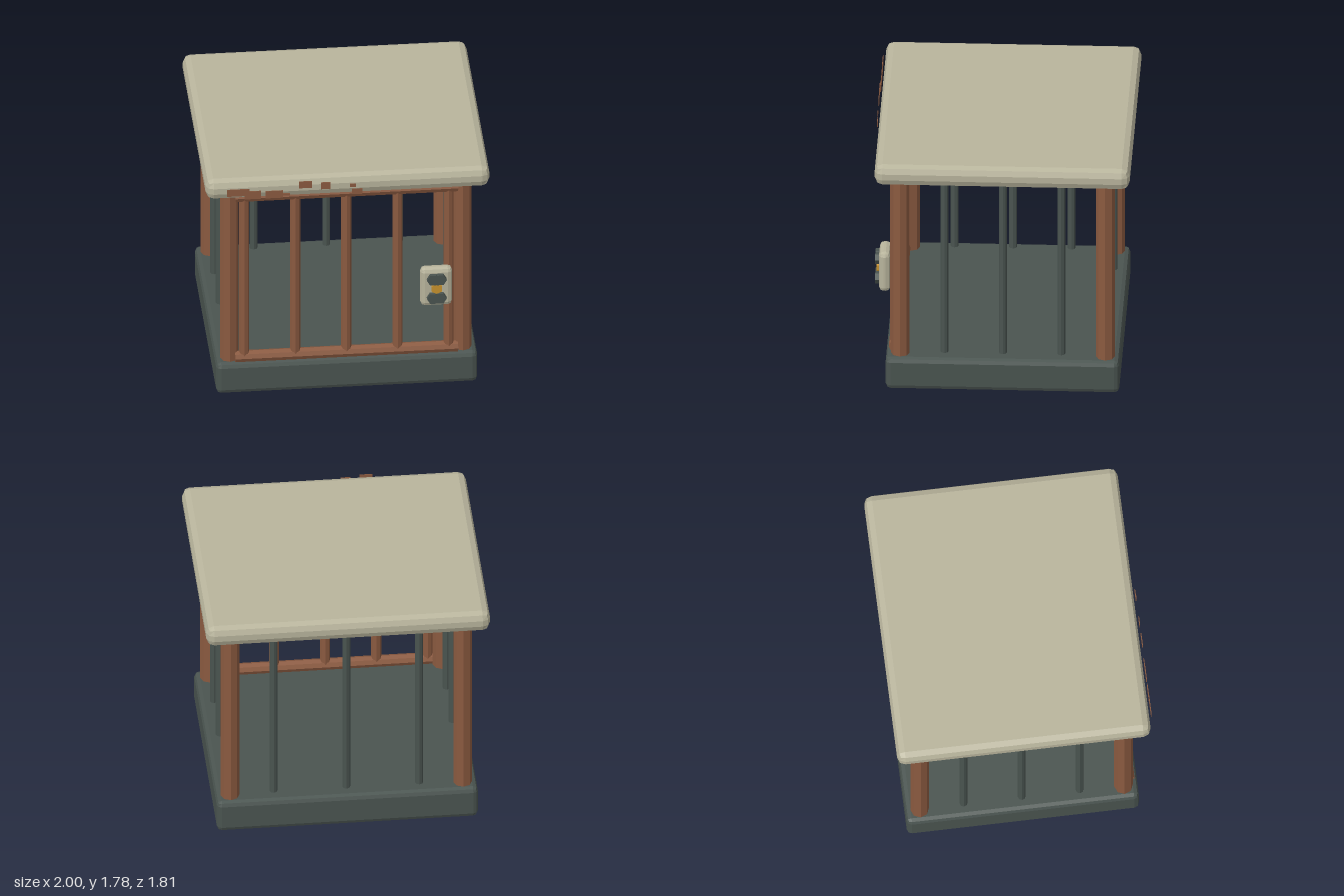
import * as THREE from 'three';
import { RoundedBoxGeometry } from 'three/addons/geometries/RoundedBoxGeometry.js';

const paint = (color) => new THREE.MeshStandardMaterial({ color, flatShading: true });

export function createModel() {
  const cage = new THREE.Group();
  cage.name = 'cage';
  const rust = paint(0x8b5a40);
  const iron = paint(0x4a5450);
  const stone = paint(0xb8b49c);
  const gold = paint(0xc8922e);
  const midZ = -0.01;

  const add = (name, geometry, material, x, y, z, parent = cage) => {
    const mesh = new THREE.Mesh(geometry, material);
    mesh.name = name;
    mesh.position.set(x, y, z);
    parent.add(mesh);
    return mesh;
  };
  // Upright octagonal rod between two heights
  const rod = (name, r, y0, y1, x, z, material) =>
    add(name, new THREE.CylinderGeometry(r, r, y1 - y0, 8), material, x, (y0 + y1) / 2, z);

  // Base and roof slabs
  add('base', new RoundedBoxGeometry(1.84, 0.245, 1.64, 1, 0.035), iron, 0, 0.1225, midZ);
  add('roof', new RoundedBoxGeometry(2, 0.155, 1.79, 1, 0.055), stone, 0, 1.7075, midZ);

  // Corner posts
  for (const sx of [-1, 1])
    for (const sz of [-1, 1])
      rod('cornerPost', 0.066, 0.22, 1.65, sx * 0.82, midZ + sz * 0.72, rust);

  // Iron bars on the sides and the back
  for (const i of [-1, 0, 1]) {
    for (const sx of [-1, 1]) rod('sideBar', 0.028, 0.26, 1.61, sx * 0.82, midZ + i * 0.41, iron);
    rod('backBar', 0.028, 0.26, 1.61, i * 0.513, midZ - 0.72, iron);
  }

  // Front door: two rails and five bars
  for (const y of [0.272, 1.584]) {
    const rail = add('doorRail', new THREE.CylinderGeometry(0.043, 0.043, 1.57, 8), rust, 0, y, 0.75);
    rail.rotation.z = Math.PI / 2;
  }
  for (let i = -2; i <= 2; i++) rod('doorBar', 0.036, 0.28, 1.58, i * 0.36, 0.75, rust);

  // Lock with hexagonal studs
  const lock = new THREE.Group();
  lock.name = 'lock';
  lock.position.set(0.625, 0.823, 0);
  cage.add(lock);
  add('lockPlate', new RoundedBoxGeometry(0.225, 0.305, 0.08, 1, 0.032), stone, 0, 0, 0.825, lock);
  const hex = (name, r, depth, turn, material, x, y) => {
    const geometry = new THREE.CylinderGeometry(r, r, depth, 6).rotateX(Math.PI / 2).rotateZ(turn);
    add(name, geometry, material, x, y, 0.86 + depth / 2, lock);
  };
  for (const sx of [-1, 1])
    for (const sy of [-1, 1]) hex('lockStud', 0.045, 0.033, Math.PI / 6, iron, sx * 0.025, sy * 0.075);
  hex('lockCentre', 0.041, 0.025, 0, gold, 0, 0);

  // Blocky rust patches just ahead of the roof edge
  const patches = [
    [[-0.855, 1.73], [-0.695, 1.73], [-0.695, 1.71], [-0.615, 1.71], [-0.615, 1.647], [-0.733, 1.647], [-0.733, 1.675], [-0.855, 1.675]],
    [[-0.583, 1.705], [-0.46, 1.705], [-0.46, 1.68], [-0.412, 1.68], [-0.412, 1.663], [-0.46, 1.663], [-0.46, 1.647], [-0.583, 1.647]],
    [[-0.348, 1.77], [-0.258, 1.77], [-0.258, 1.716], [-0.348, 1.716]],
    [[-0.193, 1.754], [-0.125, 1.754], [-0.125, 1.7], [-0.193, 1.7]],
    [[0.011, 1.732], [0.053, 1.732], [0.053, 1.705], [0.011, 1.705]],
    [[0.027, 1.69], [0.1, 1.69], [0.1, 1.647], [0.027, 1.647]],
  ];
  for (const points of patches) {
    const shape = new THREE.Shape(points.map(([x, y]) => new THREE.Vector2(x, y)));
    add('rustPatch', new THREE.ExtrudeGeometry(shape, { depth: 0.005, bevelEnabled: false }), rust, 0, 0, 0.9);
  }
  return cage;
}
